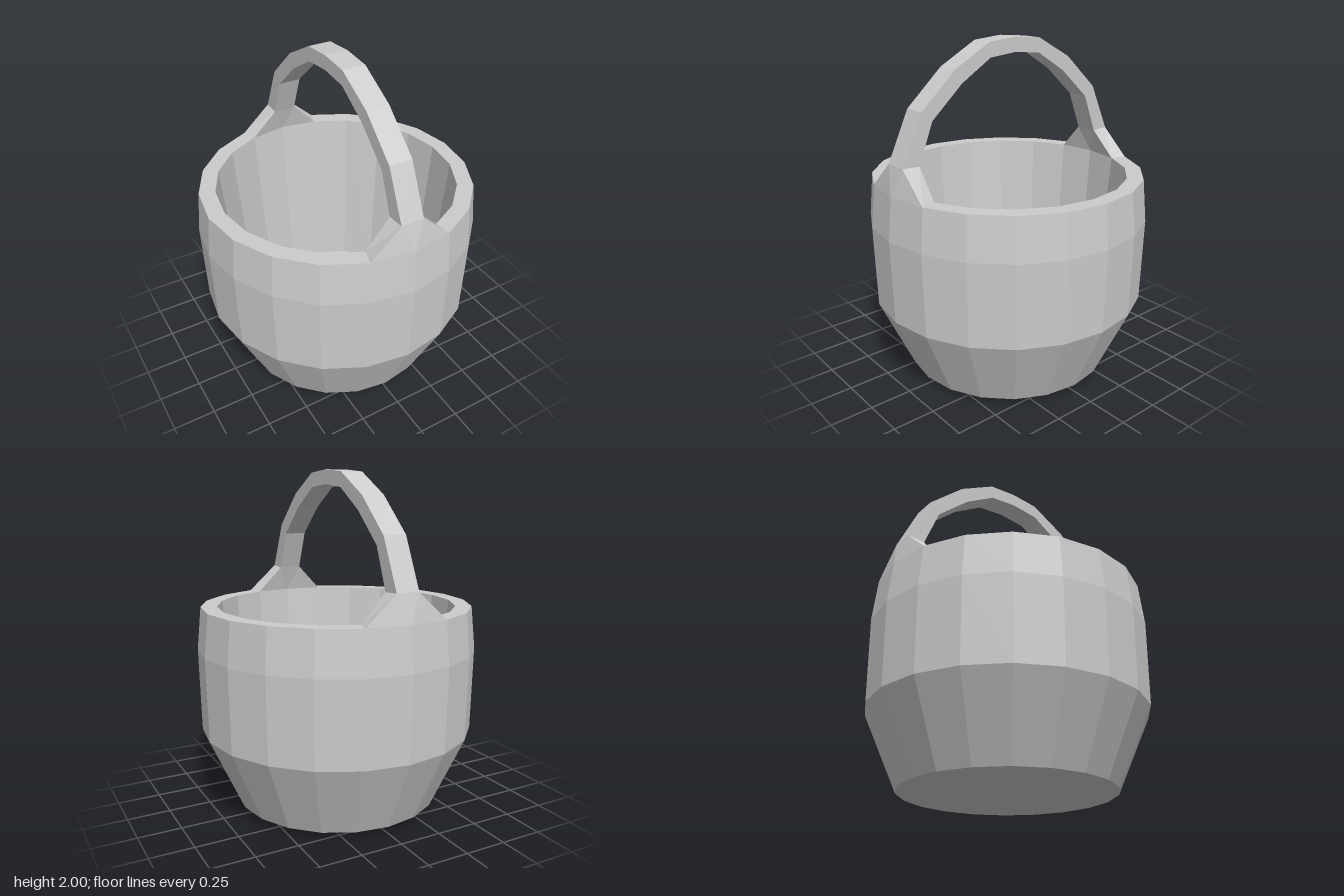
import * as THREE from 'three';

const material = new THREE.MeshStandardMaterial({ color: 0xcccccc, flatShading: true });
const SIDES = 20, RIM_Y = 1.22, RIM_OUT = 0.8, RIM_IN = 0.705, HALF_W = 0.068;

function part(name, geometry) {
  const mesh = new THREE.Mesh(geometry, material);
  mesh.name = name;
  return mesh;
}

// Flared foot rising from two rim segments to the narrow handle
function footGeometry() {
  const a = (Math.PI * 2) / SIDES;
  const rimPoint = (r, i) => [r * Math.sin(i * a), RIM_Y, r * Math.cos(i * a)];
  const points = [
    ...[-1, 0, 1].map(i => rimPoint(RIM_OUT, i)), // 0-2 outer rim
    ...[-1, 0, 1].map(i => rimPoint(RIM_IN, i)),  // 3-5 inner rim
    [-HALF_W, 1.38, 0.76], [HALF_W, 1.38, 0.76],  // 6-7 outer top
    [-HALF_W, 1.375, 0.655], [HALF_W, 1.375, 0.655], // 8-9 inner top
  ];
  const g = new THREE.BufferGeometry();
  g.setAttribute('position', new THREE.Float32BufferAttribute(points.flat(), 3));
  g.setIndex([
    0, 1, 6, 1, 7, 6, 1, 2, 7, // outside
    3, 8, 4, 4, 8, 9, 4, 9, 5, // inside
    2, 5, 9, 2, 9, 7,          // left slope
    3, 0, 6, 3, 6, 8,          // right slope
  ]);
  const flat = g.toNonIndexed();
  flat.computeVertexNormals();
  return flat;
}

// Arched strap: a profile in the z-y plane, extruded across x
function handleGeometry() {
  const outer = [[0.76, 1.38], [0.63, 1.66], [0.41, 1.86], [0.18, 1.985], [0, 2]];
  const inner = [[0.655, 1.375], [0.565, 1.605], [0.37, 1.78], [0.175, 1.9], [0, 1.917]];
  const arch = half => [...half, ...half.slice(0, -1).reverse().map(([z, y]) => [-z, y])];
  const outline = [...arch(outer), ...arch(inner).reverse()];
  const shape = new THREE.Shape(outline.map(p => new THREE.Vector2(...p)));
  const g = new THREE.ExtrudeGeometry(shape, { depth: HALF_W * 2, bevelEnabled: false });
  return g.translate(0, 0, -HALF_W).rotateY(Math.PI / 2);
}

export function createModel() {
  const model = new THREE.Group();
  model.name = 'basket';

  // Hollow faceted bowl: base, outer wall, rim, inner wall, floor
  const profile = [
    [0, 0], [0.615, 0.04], [0.815, 0.48], [0.825, 0.97], [RIM_OUT, RIM_Y],
    [RIM_IN, RIM_Y], [0.625, 0.16], [0, 0.13],
  ].map(p => new THREE.Vector2(...p));
  model.add(part('bowl', new THREE.LatheGeometry(profile, SIDES)));

  model.add(part('handle', handleGeometry()));

  const foot = footGeometry();
  const front = part('frontHandleFoot', foot);
  const back = part('backHandleFoot', foot);
  back.rotation.y = Math.PI;
  model.add(front, back);

  return model;
}
